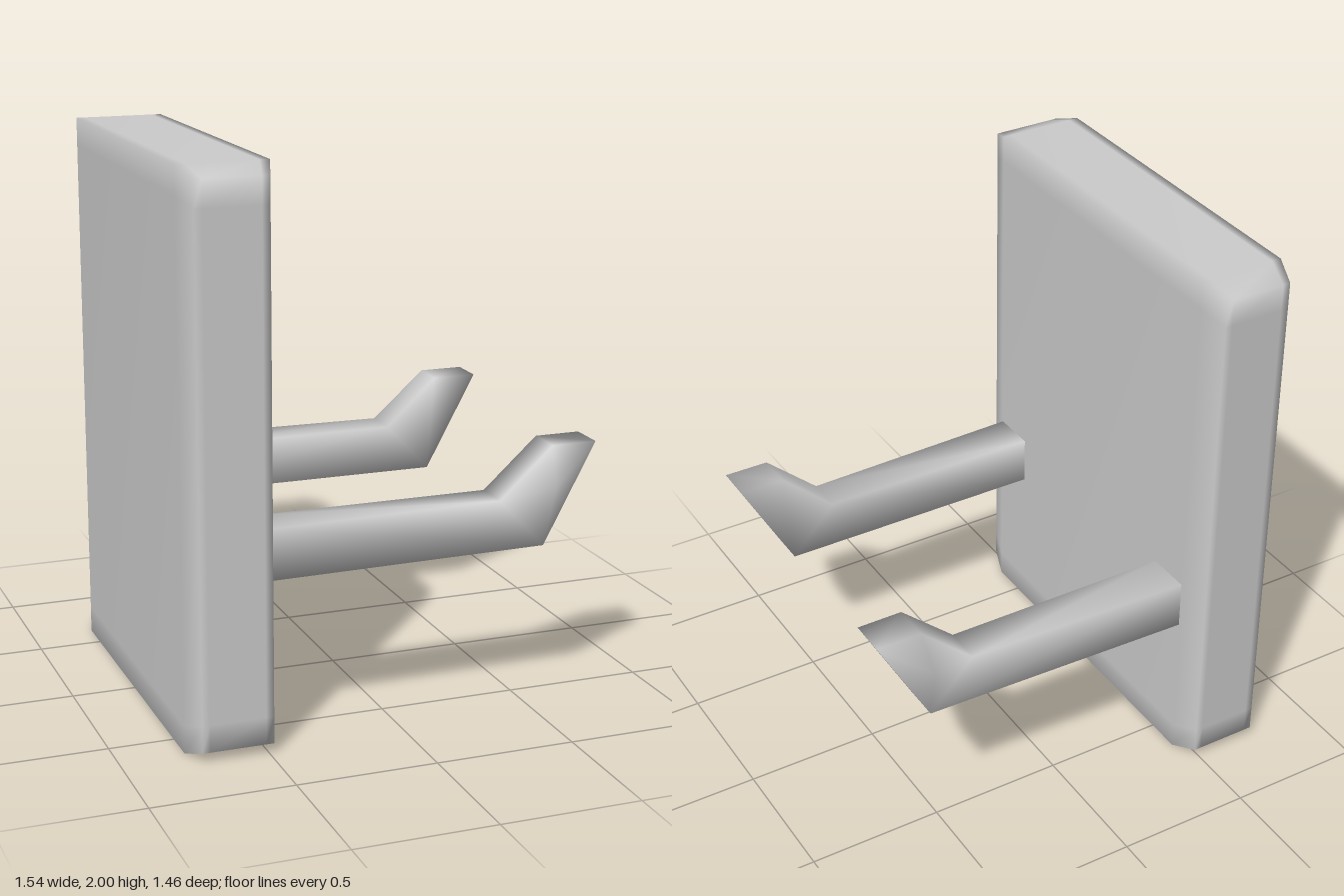
import * as THREE from 'three';
import { mergeVertices } from 'three/addons/utils/BufferGeometryUtils.js';

const material = new THREE.MeshStandardMaterial({ color: 0xcccccc });

// Upright plate: smooth-shaded slab whose two z ends taper in slightly
function plateGeometry() {
  let geo = new THREE.BoxGeometry(3, 3, 3, 3, 3, 3);
  geo.deleteAttribute('normal');
  geo.deleteAttribute('uv');
  geo = mergeVertices(geo);
  const loops = {
    x: [-0.16, -0.125, 0.125, 0.16],
    y: [-1, -0.9, 0.9, 1],
    z: [-0.73, -0.63, 0.63, 0.73],
  };
  const pos = geo.attributes.position;
  for (let i = 0; i < pos.count; i++) {
    const [a, b, c] = [pos.getX(i), pos.getY(i), pos.getZ(i)].map((v) => Math.round(v + 1.5));
    const end = c === 0 || c === 3;
    let x = loops.x[a], y = loops.y[b];
    if (end) {
      x *= 0.127 / 0.16;
      y *= 0.965;
    }
    pos.setXYZ(i, x, y, loops.z[c]);
  }
  geo.computeVertexNormals();
  return geo;
}

// Hooked arm: four-sided sections from root to tip, with a bulge outside the hook
function armGeometry(side) {
  const inner = 0.457;
  // top x, top y, bottom x, bottom y, outer z
  const sections = [
    [-0.46, 0.757, -0.46, 0.575, 0.625],
    [0.4, 0.757, 0.57, 0.575, 0.597],
    [0.6, 0.937, 0.767, 0.937, 0.594],
  ];
  const points = [];
  for (const [tx, ty, bx, by, outer] of sections) {
    points.push([tx, ty, inner], [tx, ty, outer], [bx, by, outer], [bx, by, inner]);
  }
  const apex = points.push([0.584, 0.8, 0.66]) - 1;

  const index = [];
  const tri = (a, b, c) => index.push(...(side > 0 ? [a, b, c] : [a, c, b]));
  for (let s = 0; s < 2; s++) {
    for (let i = 0; i < 4; i++) {
      const p = s * 4 + i, q = s * 4 + ((i + 1) % 4);
      const corners = [p, q, q + 4, p + 4];
      if (s === 1 && i === 1) {
        corners.forEach((c, k) => tri(c, corners[(k + 1) % 4], apex));
      } else {
        tri(p, q, q + 4);
        tri(p, q + 4, p + 4);
      }
    }
  }
  // Flat tip
  tri(8, 9, 10);
  tri(8, 10, 11);

  const geo = new THREE.BufferGeometry();
  const flat = points.flatMap(([x, y, z]) => [x, y, z * side]);
  geo.setAttribute('position', new THREE.Float32BufferAttribute(flat, 3));
  geo.setIndex(index);
  geo.computeVertexNormals();
  return geo;
}

export function createModel() {
  const group = new THREE.Group();
  group.name = 'wallHook';

  const plate = new THREE.Mesh(plateGeometry(), material);
  plate.name = 'backPlate';
  plate.position.set(-0.61, 1, 0);
  group.add(plate);

  for (const side of [1, -1]) {
    const arm = new THREE.Mesh(armGeometry(side), material);
    arm.name = side > 0 ? 'frontHookArm' : 'rearHookArm';
    group.add(arm);
  }
  return group;
}
